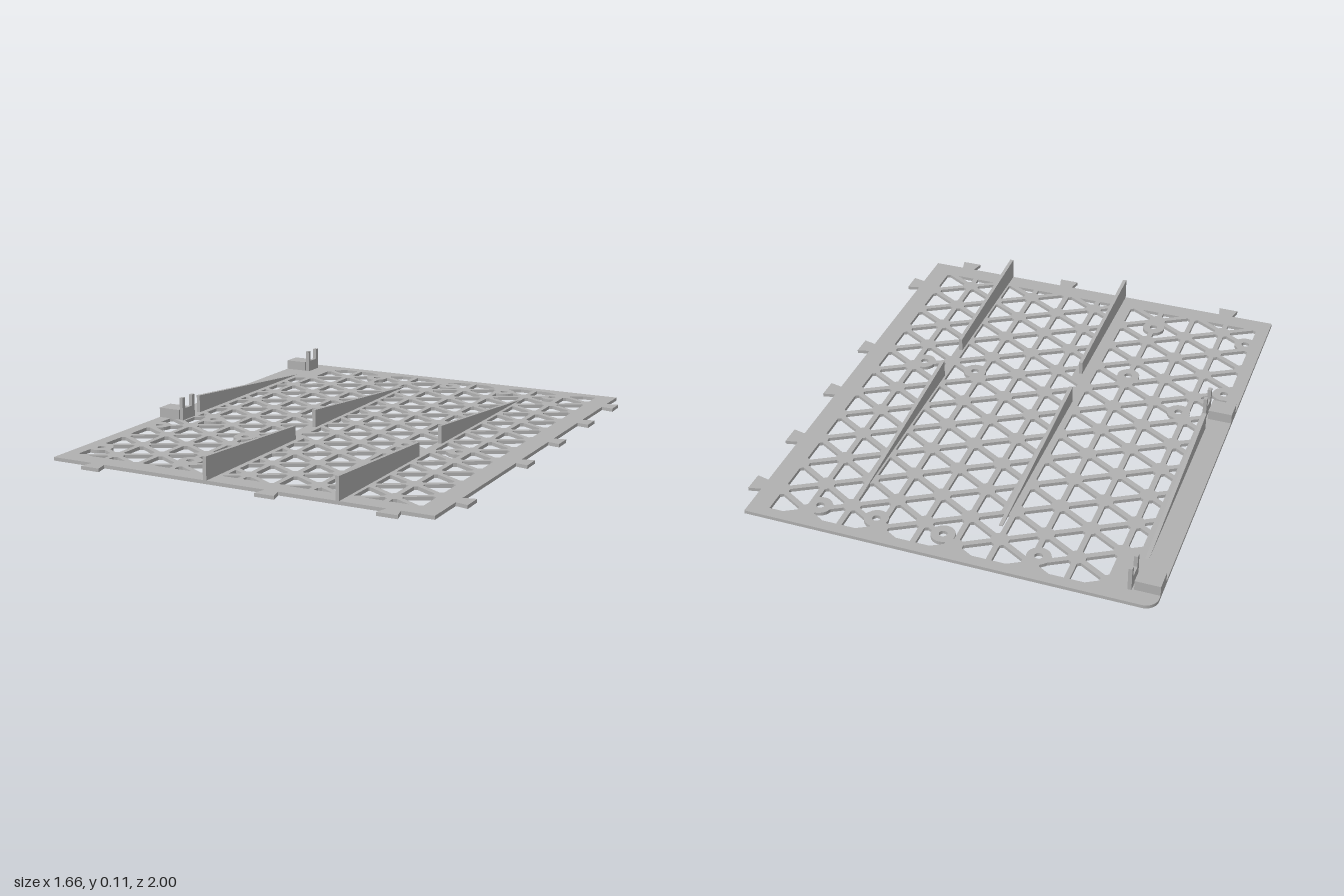
import * as THREE from 'three';

const T = 0.014;                       // plate thickness
const STEP = 0.1495, SIDE = 0.1727;    // lattice column spacing and triangle side
const BAR = 0.011, NODE = 0.035;       // half bar width, node size
const BOSS = 0.047, SCREW = 0.016;     // boss and screw hole radii

// Screw bosses, x and z
const bosses = [
  [-0.355, -0.875], [0.02, -0.875], [0.29, -0.875], [0.522, -0.875],
  [-0.607, 0.16], [0.29, 0.16], [0.522, 0.16],
  [-0.755, 0.345], [-0.338, 0.345], [-0.755, 0.745], [-0.338, 0.745],
].map(([x, z]) => new THREE.Vector2(x, -z));

// Keep the part of a convex polygon where n.p >= c
function clip(poly, nx, ny, c) {
  const out = [];
  poly.forEach((a, i) => {
    const b = poly[(i + 1) % poly.length];
    const da = a.x * nx + a.y * ny - c, db = b.x * nx + b.y * ny - c;
    if (da >= 0) out.push(a);
    if (da * db < 0) out.push(a.clone().lerp(b, da / (da - db)));
  });
  return out;
}

// Triangular opening with bars on each side and blunted corners
function openTriangle(tri) {
  const mid = new THREE.Vector2();
  tri.forEach((p) => mid.addScaledVector(p, 1 / 3));
  let poly = tri;
  tri.forEach((a, i) => {
    const e = tri[(i + 1) % 3].clone().sub(a).normalize();
    poly = clip(poly, -e.y, e.x, -e.y * a.x + e.x * a.y + BAR);
    const d = mid.clone().sub(a).normalize();
    poly = clip(poly, d.x, d.y, d.dot(a) + NODE);
  });
  return { poly, mid };
}

// Trim an opening to the solid borders and rib strips
function trim(poly, col, x, z) {
  let x0 = -0.78, x1 = 0.70;
  if (z < -0.72) x0 = -0.63;
  else if (z < 0.25) x0 = -0.70;
  if (col === 3 && z > -0.72 && z < 0.12) x0 = -0.138;
  if (col === 3 && z > 0.24) x0 = -0.113;
  if (col === 2 && z > 0.28) x1 = -0.2;
  if (col === 6 && z > -0.72) x1 = 0.39;
  if (col === 7 && z > -0.72) x0 = 0.428;
  poly = clip(poly, 1, 0, x0);
  poly = clip(poly, -1, 0, -x1);
  poly = clip(poly, 0, 1, -0.87);
  return clip(poly, 0, -1, -0.955);
}

// Cut a round boss out of an opening, following its rim
function cutBoss(poly, c) {
  const pts = [];
  poly.forEach((a, i) => {
    const b = poly[(i + 1) % poly.length];
    const n = Math.ceil(a.distanceTo(b) / 0.005);
    for (let k = 0; k < n; k++) pts.push(a.clone().lerp(b, k / n));
  });
  const inside = pts.map((p) => p.distanceTo(c) < BOSS);
  if (!inside.includes(true)) return poly;
  const start = inside.indexOf(false);
  if (start < 0) return [];
  const out = [], N = pts.length;
  for (let k = 0; k < N; k++) {
    const i = (start + k) % N;
    if (inside[i]) continue;
    out.push(pts[i]);
    if (!inside[(i + 1) % N]) continue;
    let j = (i + 1) % N;
    while (inside[j]) j = (j + 1) % N;
    const a0 = Math.atan2(pts[i].y - c.y, pts[i].x - c.x);
    const a1 = Math.atan2(pts[j].y - c.y, pts[j].x - c.x);
    const sweep = (a0 - a1 + Math.PI * 4) % (Math.PI * 2);
    const n = Math.max(2, Math.ceil(sweep / 0.25));
    for (let s = 1; s < n; s++) {
      const t = a0 - sweep * s / n;
      out.push(new THREE.Vector2(c.x + BOSS * Math.cos(t), c.y + BOSS * Math.sin(t)));
    }
  }
  return out;
}

// Plate outline with dovetail tabs and one rounded corner
function outline() {
  const s = new THREE.Shape();
  const F = -0.948, R = 0.78;
  s.moveTo(-0.83, F);
  for (const x of [-0.62, 0.14, 0.625]) {
    s.lineTo(x - 0.028, F);
    s.lineTo(x - 0.041, -1);
    s.lineTo(x + 0.041, -1);
    s.lineTo(x + 0.028, F);
  }
  s.lineTo(R, F);
  for (const z of [0.744, 0.18, -0.167, -0.515, -0.832]) {
    s.lineTo(R, -z - 0.03);
    s.lineTo(0.83, -z - 0.041);
    s.lineTo(0.83, -z + 0.041);
    s.lineTo(R, -z + 0.03);
  }
  s.lineTo(R, 1);
  s.lineTo(-0.78, 1);
  s.absarc(-0.78, 0.95, 0.05, Math.PI / 2, Math.PI, false);
  s.closePath();
  return s;
}

function plateGeometry() {
  const shape = outline();
  const V = (x, y) => new THREE.Vector2(x, y);
  for (let col = -1; col <= 8; col++) {
    const xl = -0.638 + col * STEP, xr = xl + STEP;
    const top = col % 2 ? 0.834 : 0.7475;
    for (let j = -2; j <= 12; j++) {
      const y = top - j * SIDE, h = SIDE / 2;
      const cells = [
        [V(xl, y), V(xr, y + h), V(xl, y + SIDE)],
        [V(xl, y), V(xr, y - h), V(xr, y + h)],
      ];
      for (const cell of cells) {
        const { poly, mid } = openTriangle(cell);
        if (col === -1 && mid.y > 0.72) continue;
        let hole = trim(poly, col, mid.x, -mid.y);
        for (const b of bosses) if (hole.length > 2) hole = cutBoss(hole, b);
        if (hole.length < 3 || THREE.ShapeUtils.area(hole) < 0.0005) continue;
        shape.holes.push(new THREE.Path(hole));
      }
    }
  }
  for (const b of bosses) {
    shape.holes.push(new THREE.Path().absarc(b.x, b.y, SCREW, 0, Math.PI * 2, true));
  }
  return new THREE.ExtrudeGeometry(shape, { depth: T, bevelEnabled: false, curveSegments: 8 })
    .rotateX(-Math.PI / 2);
}

// Upright plate: a z,y profile given a thickness along x
function upright(points, x, width) {
  const shape = new THREE.Shape(points.map(([z, y]) => new THREE.Vector2(-z, y)));
  return new THREE.ExtrudeGeometry(shape, { depth: width, bevelEnabled: false })
    .rotateY(Math.PI / 2).translate(x - width / 2, 0, 0);
}

export function createModel() {
  const group = new THREE.Group();
  const grey = new THREE.MeshStandardMaterial({ color: 0xb0b0b0 });
  grey.name = 'light grey';
  const add = (name, geometry) => {
    const mesh = new THREE.Mesh(geometry, grey);
    mesh.name = name;
    group.add(mesh);
  };

  add('latticePlate', plateGeometry());

  // Tapered ribs
  const base = T - 0.003;
  for (const x of [-0.732, -0.165, 0.406]) {
    add('backRib', upright([[0.085, base], [0.085, 0.088], [-0.76, T], [-0.76, base]], x, 0.015));
  }
  for (const x of [-0.142, 0.406]) {
    add('frontRib', upright([[0.948, base], [0.948, 0.105], [0.29, 0.07], [0.29, base]], x, 0.015));
  }

  // Edge blocks with forked clips
  for (const z of [-0.893, 0.193]) {
    add('edgeBlock', new THREE.BoxGeometry(0.097, 0.045, 0.08).translate(-0.7815, 0.0325, z));
    const a = 0.045, b = 0.026, h = 0.11, m = 0.063;
    add('forkedClip', upright([
      [z - a, base], [z - a, h], [z - b, h], [z - b, m],
      [z + b, m], [z + b, h], [z + a, h], [z + a, base],
    ], -0.717, 0.015));
  }
  return group;
}
